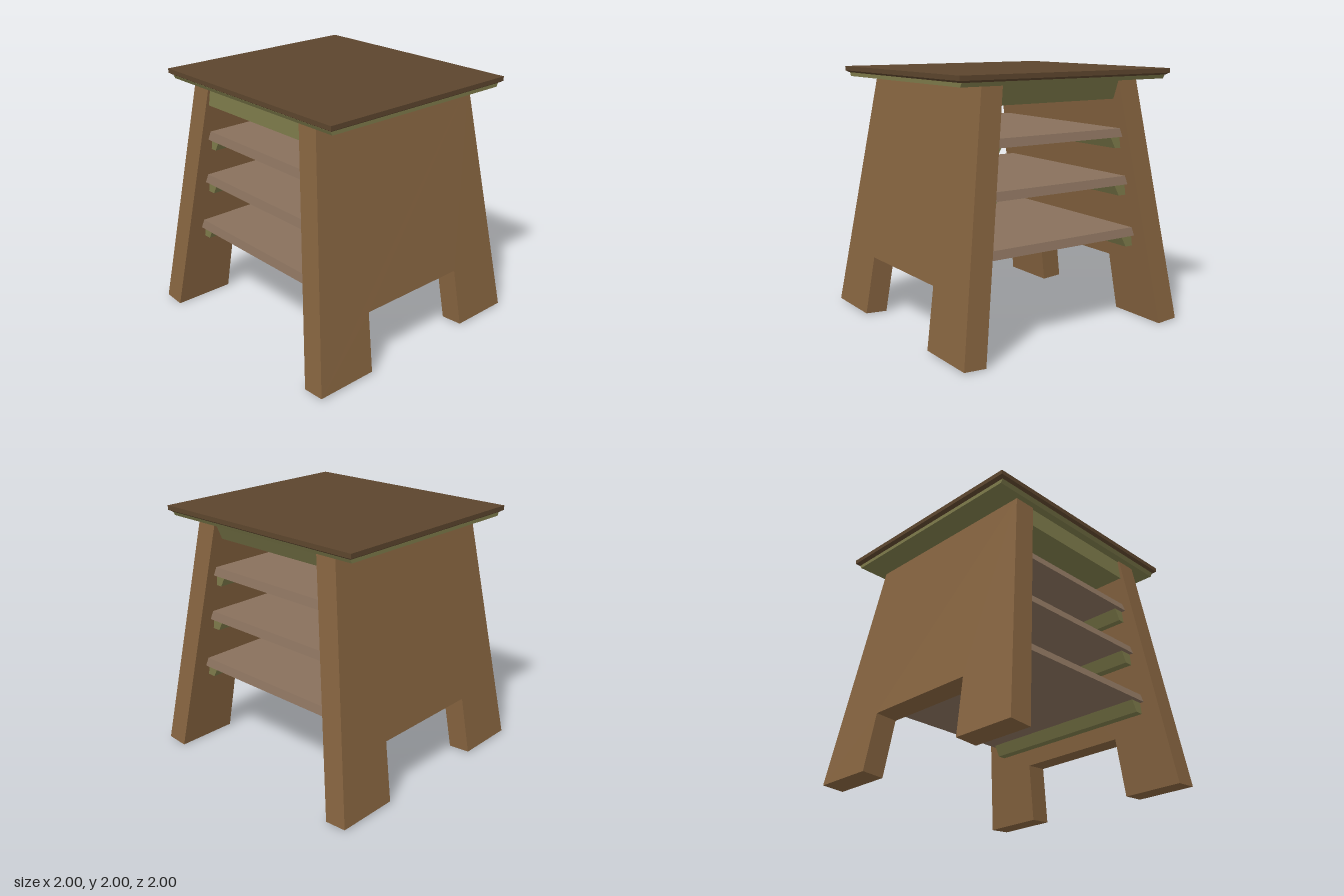
import * as THREE from 'three';

const material = (color) => new THREE.MeshStandardMaterial({ color });

// Six-sided block between two rectangles, each given as [y, x0, x1, z0, z1]
function block(name, mat, bottom, top) {
  const geo = new THREE.BoxGeometry(1, 1, 1).toNonIndexed();
  const p = geo.attributes.position;
  for (let i = 0; i < p.count; i++) {
    const [y, x0, x1, z0, z1] = p.getY(i) > 0 ? top : bottom;
    p.setXYZ(i, p.getX(i) > 0 ? x1 : x0, y, p.getZ(i) > 0 ? z1 : z0);
  }
  geo.computeVertexNormals();
  const mesh = new THREE.Mesh(geo, mat);
  mesh.name = name;
  return mesh;
}

// Inner face of the leaning side panel at height y
const innerX = (y) => 0.82 - 0.151 * y;

// Leaning side panel with a cutout that leaves two feet
function sidePanel(mat) {
  const shape = new THREE.Shape([
    [-1, 0], [-0.5, 0], [-0.475, 0.467], [0.475, 0.467],
    [0.5, 0], [1, 0], [0.78, 1.925], [-0.78, 1.925],
  ].map(([u, y]) => new THREE.Vector2(u, y)));
  const geo = new THREE.ExtrudeGeometry(shape, { depth: 1, bevelEnabled: false });
  const p = geo.attributes.position;
  for (let i = 0; i < p.count; i++) {
    const u = p.getX(i), y = p.getY(i), t = p.getZ(i);
    p.setXYZ(i, innerX(y) + t * (0.18 - 0.002 * y), y + t * (y < 1 ? 0.012 : 0), -u);
  }
  geo.computeVertexNormals();
  const mesh = new THREE.Mesh(geo, mat);
  mesh.name = 'sidePanel';
  return mesh;
}

export function createModel() {
  const model = new THREE.Group();
  model.name = 'sideTable';
  const wood = material(0x85633f);
  const topWood = material(0x5c452d);
  const shelfWood = material(0x88705c);
  const green = material(0x7d7a4a);

  // Table top with a chamfered lower edge, and the layer beneath it
  model.add(
    block('tableTop', topWood, [1.965, -0.95, 0.95, -0.895, 0.865], [2, -0.95, 0.95, -0.895, 0.865]),
    block('tableTopChamfer', topWood, [1.95, -0.925, 0.925, -0.87, 0.84], [1.965, -0.95, 0.95, -0.895, 0.865]),
    block('topSupport', green, [1.92, -0.92, 0.92, -0.853, 0.825], [1.95, -0.92, 0.92, -0.87, 0.842]),
    block('apron', green, [1.77, -0.56, 0.56, -0.7, 0.77], [1.92, -0.54, 0.54, -0.78, 0.765]),
  );

  // Shelves: underside height, half depth, inner reach of the cleat below
  const shelves = [
    [0.69, 0.79, 0.612],
    [1.105, 0.765, 0.548],
    [1.48, 0.755, 0.507],
  ];
  for (const [y, d] of shelves) {
    const lower = innerX(y) + 0.01, upper = innerX(y + 0.065) + 0.01;
    model.add(block('shelf', shelfWood, [y, -lower, lower, -d - 0.01, d + 0.01],
      [y + 0.065, -upper, upper, -d + 0.01, d - 0.01]));
  }

  // Each side: panel plus one bevelled cleat per shelf
  for (const turn of [0, Math.PI]) {
    const side = new THREE.Group();
    side.name = turn ? 'rightSide' : 'leftSide';
    side.add(sidePanel(wood));
    for (const [y, d, reach] of shelves) {
      const z = d - 0.025, low = y - 0.09;
      side.add(block('shelfCleat', green, [low, reach + 0.049, innerX(low) + 0.01, -z, z],
        [y, reach, innerX(y) + 0.01, -z, z]));
    }
    side.rotation.y = turn;
    model.add(side);
  }
  return model;
}
